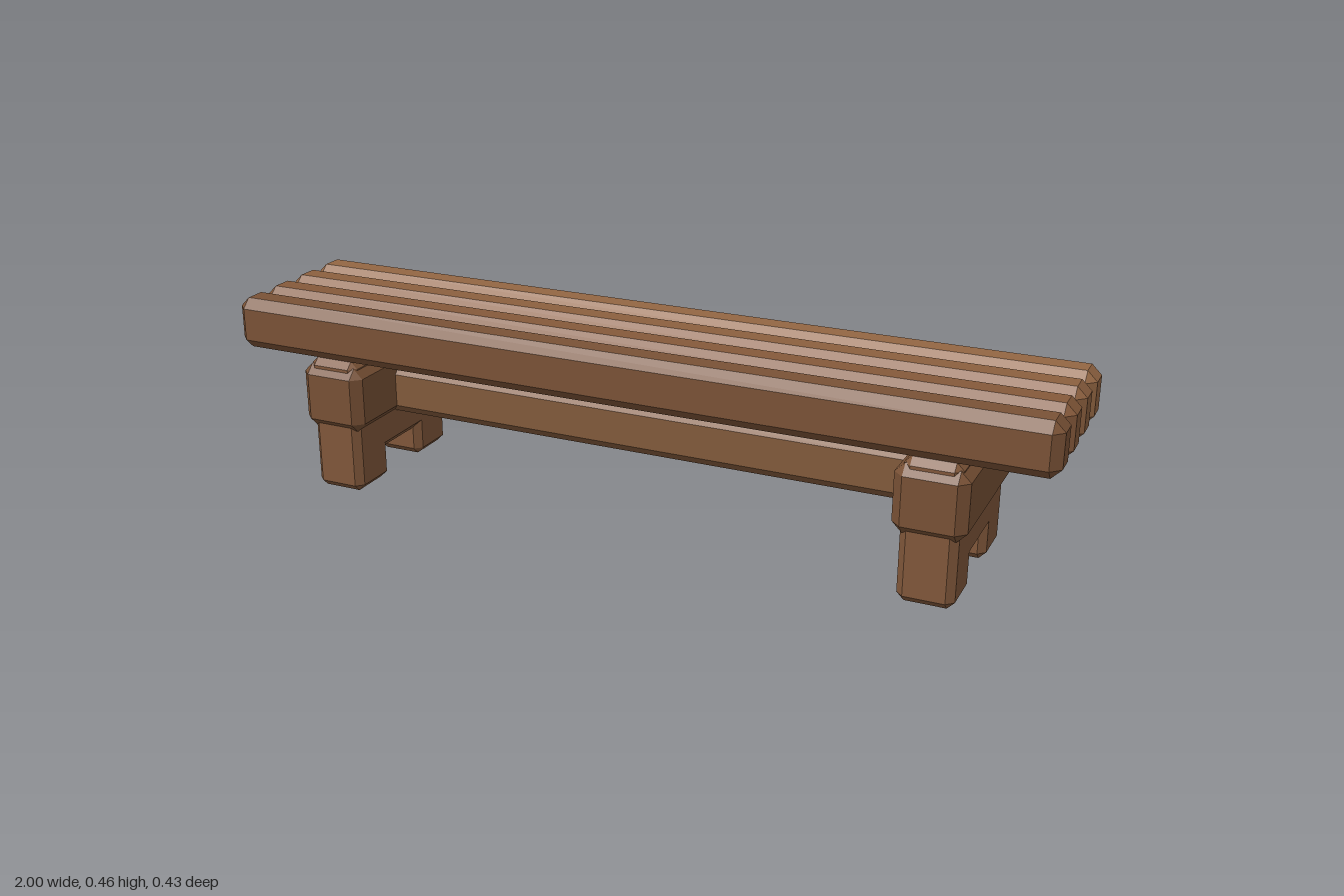
import * as THREE from 'three';
import { ConvexGeometry } from 'three/addons/geometries/ConvexGeometry.js';

// Box with flat chamfers on every edge, given by its size and bevel
function chamferBox(w, h, d, bevel) {
  const half = [w / 2, h / 2, d / 2];
  const points = [];
  for (const sx of [-1, 1]) for (const sy of [-1, 1]) for (const sz of [-1, 1]) {
    for (let axis = 0; axis < 3; axis++) {
      // only the current axis reaches the full extent
      const c = half.map((v, i) => (i === axis ? v : v - bevel));
      points.push(new THREE.Vector3(sx * c[0], sy * c[1], sz * c[2]));
    }
  }
  return new ConvexGeometry(points);
}

function addPart(parent, name, size, position, bevel, color) {
  const material = new THREE.MeshStandardMaterial({ color, flatShading: true });
  const mesh = new THREE.Mesh(chamferBox(...size, bevel), material);
  mesh.name = name;
  mesh.position.set(...position);
  parent.add(mesh);
}

export function createModel() {
  const bench = new THREE.Group();
  bench.name = 'bench';

  // Four seat slats, front to back
  const slatColors = [0x7a5236, 0x85593a, 0x8c603f, 0x936643];
  slatColors.forEach((color, i) => {
    addPart(bench, 'seatSlat', [2, 0.125, 0.095], [0, 0.3975, 0.162 - i * 0.1077], 0.023, color);
  });

  // Long stretcher joining the two supports
  addPart(bench, 'stretcher', [1.44, 0.125, 0.1], [0, 0.2235, 0], 0.022, 0x825a3b);

  // Supports: two posts, a bridge between them and a thick cross block
  for (const side of [-1, 1]) {
    const support = new THREE.Group();
    support.name = side > 0 ? 'leftSupport' : 'rightSupport';
    support.position.x = side * 0.74;
    for (const z of [-0.134, 0.134]) {
      addPart(support, 'leg', [0.128, 0.335, 0.132], [0, 0.1675, z], 0.017, 0x80573a);
    }
    addPart(support, 'legBridge', [0.128, 0.2, 0.3], [0, 0.173, 0], 0.021, 0x80573a);
    addPart(support, 'crossBlock', [0.164, 0.16, 0.427], [0, 0.24, 0], 0.023, 0x785135);
    bench.add(support);
  }
  return bench;
}
